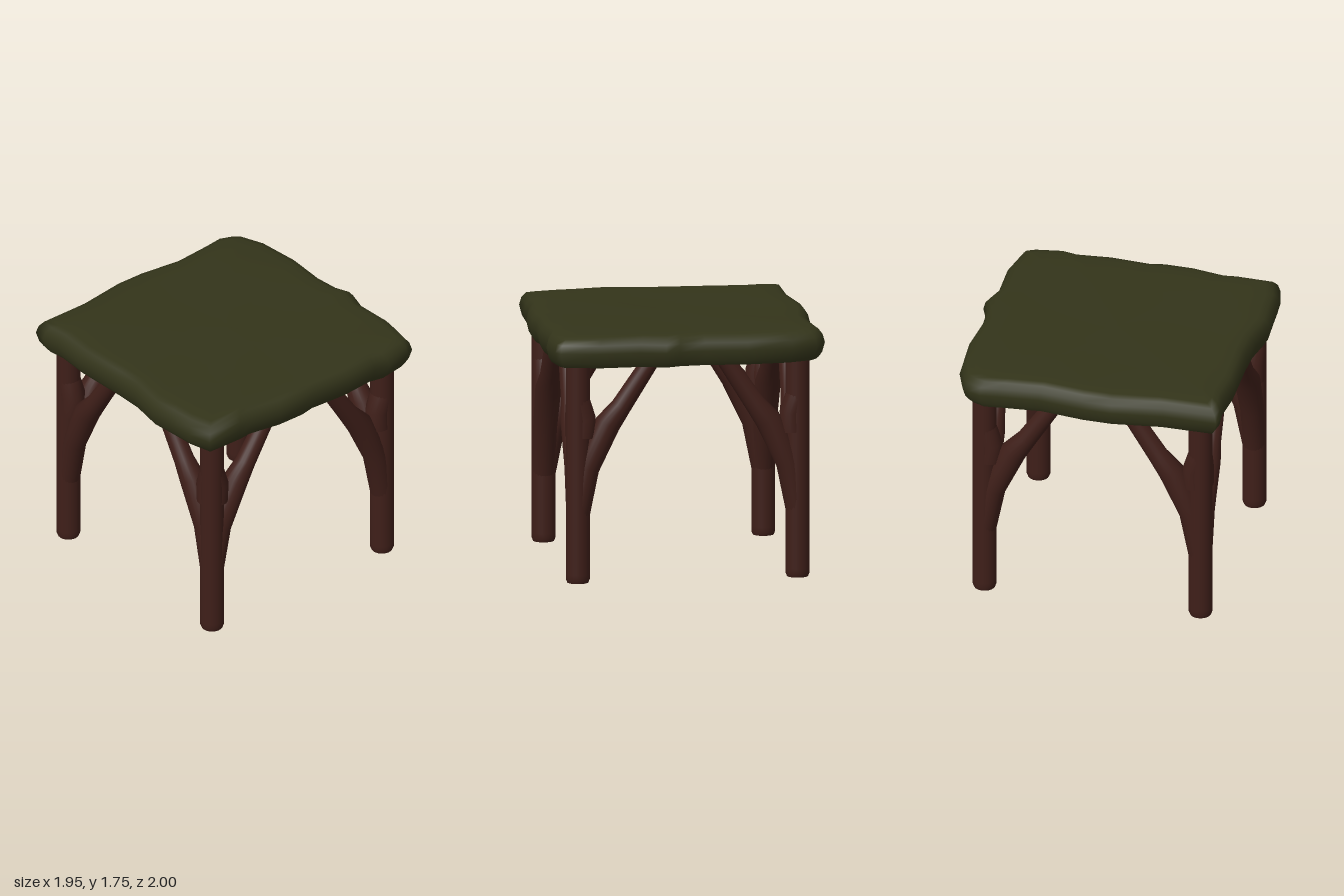
import * as THREE from 'three';

const bark = new THREE.MeshStandardMaterial({ color: 0x3f1f19 });
const moss = new THREE.MeshStandardMaterial({ color: 0x33341a });

// Joins closed rings of equal point count (listed bottom to top) into a skin
function loft(rings) {
  const n = rings[0].length, index = [];
  for (let j = 0; j < rings.length - 1; j++) {
    for (let i = 0; i < n; i++) {
      const a = j * n + i, b = j * n + (i + 1) % n;
      index.push(a, a + n, b, b, a + n, b + n);
    }
  }
  const geo = new THREE.BufferGeometry();
  geo.setAttribute('position', new THREE.Float32BufferAttribute(rings.flat(2), 3));
  geo.setIndex(index);
  geo.computeVertexNormals();
  return geo;
}

// Round limb bending in the x-y plane; stations are [x, y, radius]
function limb(stations, sides = 20) {
  return loft(stations.map(([x, y, r], k) => {
    const p = stations[Math.max(k - 1, 0)], q = stations[Math.min(k + 1, stations.length - 1)];
    const len = Math.hypot(q[0] - p[0], q[1] - p[1]);
    const tx = (q[0] - p[0]) / len, ty = (q[1] - p[1]) / len;
    return Array.from({ length: sides }, (_, i) => {
      const a = i / sides * Math.PI * 2, c = Math.cos(a) * r;
      return [x + ty * c, y - tx * c, Math.sin(a) * r];
    });
  }));
}

// Irregular outline of the slab, [x, z], starting at the back left corner
const outline = [
  [-.886, -.88], [-.71, -.945], [-.395, -.97], [-.1, -.945], [.08, -.96], [.185, -1], [.36, -.945],
  [.65, -.955], [.91, -.905], [.94, -.845], [.97, -.65], [.945, -.54], [.965, -.29], [.945, 0],
  [.965, .11], [.96, .32], [.915, .56], [.925, .66], [.915, .93], [.745, .972], [.57, .982],
  [.38, .995], [.135, .95], [-.08, .945], [-.47, .955], [-.71, .935], [-.84, .95], [-.935, .935],
  [-.93, .56], [-.975, .2], [-.97, -.01], [-.925, -.33], [-.945, -.61], [-.96, -.745], [-.925, -.83],
];

function slabGeometry() {
  // [scale, height]; the repeated entry keeps the underside edge sharp
  const levels = [[0, 1.53], [.96, 1.53], [.96, 1.53], [.982, 1.565], [1, 1.635], [.985, 1.69],
    [.955, 1.727], [.91, 1.742], [.8, 1.748], [.55, 1.747], [.28, 1.745], [0, 1.745]];
  return loft(levels.map(([s, y], j) => outline.map(([x, z]) => {
    const px = x * s, pz = z * s;
    const ripple = j > 6 ? .006 * Math.sin(px * 5 + 1) * Math.cos(pz * 6) : 0;
    return [px, y + ripple, pz];
  })));
}

export function createModel() {
  const group = new THREE.Group();

  const top = new THREE.Mesh(slabGeometry(), moss);
  top.name = 'tableTop';
  group.add(top);

  // Post with a small bevel at the foot
  const postGeo = new THREE.LatheGeometry(
    [[0, 0], [.073, 0], [.073, 0], [.083, .025], [.083, .06], [.083, 1.57]]
      .map(([x, y]) => new THREE.Vector2(x, y)), 24);
  // Branch sweeping inward, and the web filling its fork
  const branchGeo = limb([[0, .46, .08], [.067, .8, .083], [.207, 1.107, .09],
    [.299, 1.222, .071], [.515, 1.55, .06]]);
  const forkGeo = limb([[.035, 1.02, .083], [.042, 1.15, .083], [0, 1.28, .082]]);

  for (const sx of [-1, 1]) {
    for (const sz of [-1, 1]) {
      const leg = new THREE.Group();
      leg.name = (sz > 0 ? 'front' : 'back') + (sx > 0 ? 'Left' : 'Right') + 'Leg';
      leg.position.set(sx * .767, 0, sz * .768 + .015);
      const post = new THREE.Mesh(postGeo, bark);
      post.name = 'post';
      leg.add(post);
      // One branch along each side of the table
      for (const turn of [sx > 0 ? Math.PI : 0, sz * Math.PI / 2]) {
        const branch = new THREE.Mesh(branchGeo, bark);
        branch.name = 'branch';
        const fork = new THREE.Mesh(forkGeo, bark);
        fork.name = 'fork';
        branch.rotation.y = fork.rotation.y = turn;
        leg.add(branch, fork);
      }
      group.add(leg);
    }
  }
  return group;
}
